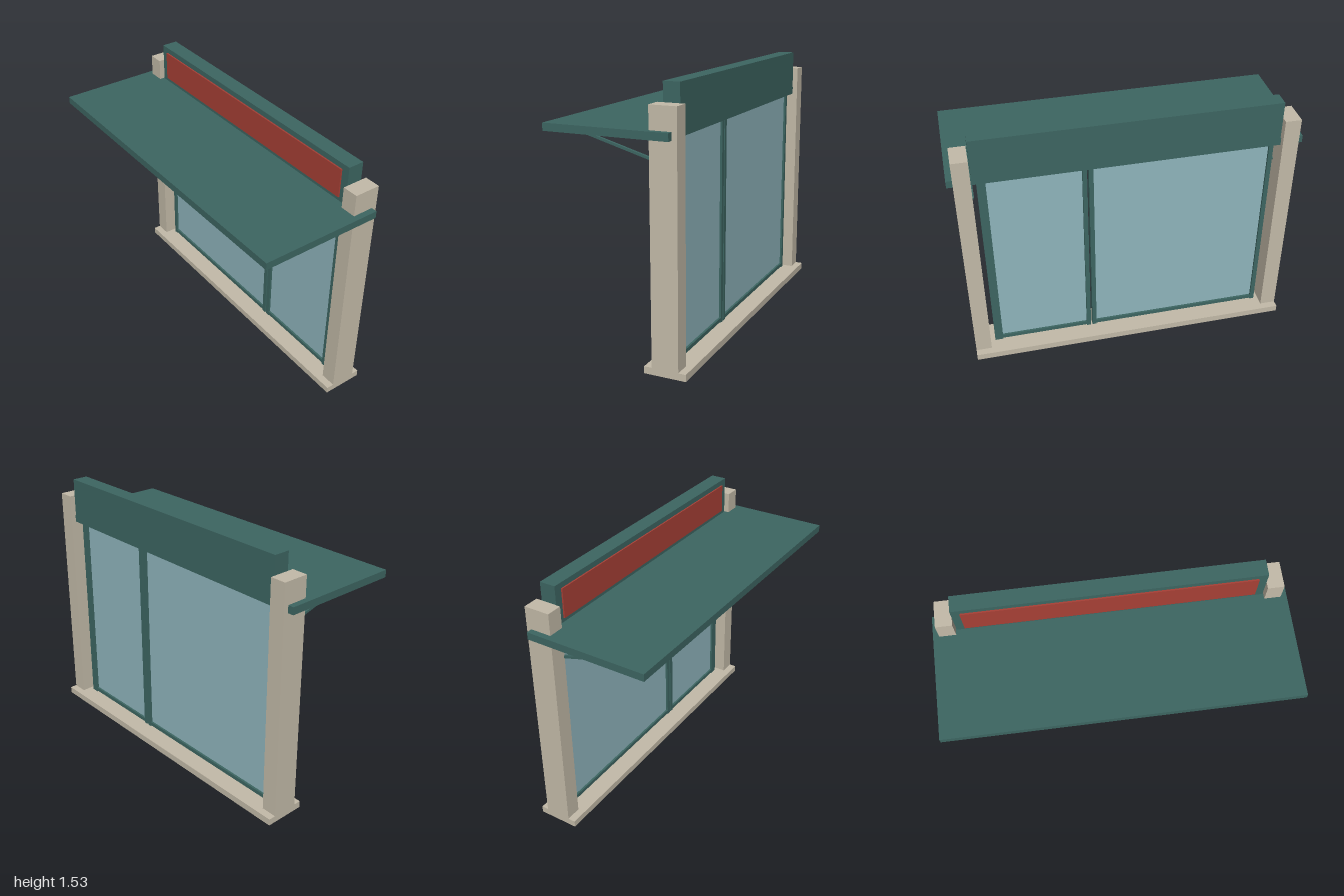
import * as THREE from 'three';

const mat = (name, color) => {
  const m = new THREE.MeshStandardMaterial({ color });
  m.name = name;
  return m;
};

export function createModel() {
  const teal = mat('tealPaint', 0x3d6662);
  const stone = mat('beigeStone', 0xc4bba9);
  const red = mat('redSign', 0xa84036);
  const glass = mat('paleGlass', 0x90b6be);

  const model = new THREE.Group();
  model.name = 'shopfront';

  // Box given by its extents on each axis
  const box = (name, material, [x0, x1], [y0, y1], [z0, z1], parent = model) => {
    const mesh = new THREE.Mesh(new THREE.BoxGeometry(x1 - x0, y1 - y0, z1 - z0), material);
    mesh.position.set((x0 + x1) / 2, (y0 + y1) / 2, (z0 + z1) / 2);
    mesh.name = name;
    parent.add(mesh);
    return mesh;
  };

  // Masonry
  box('sill', stone, [-0.965, 0.965], [0, 0.04], [-0.398, -0.155]);
  box('rightPillar', stone, [-0.965, -0.871], [0.04, 1.43], [-0.355, -0.2]);
  box('leftPillar', stone, [0.871, 0.965], [0.04, 1.43], [-0.355, -0.2]);

  // Canopy, fascia and sign panel
  box('canopy', teal, [-1, 1], [1.26, 1.303], [-0.325, 0.398]);
  box('fascia', teal, [-0.866, 0.866], [1.26, 1.535], [-0.325, -0.23]);
  box('signPanel', red, [-0.818, 0.818], [1.328, 1.502], [-0.23, -0.221]);

  // Glazed panel: two stiles, a bottom rail and a pane
  const glazedPanel = (name, x0, x1) => {
    const g = new THREE.Group();
    g.name = name;
    const w = 0.026, z = [-0.295, -0.26];
    box('stile', teal, [x0, x0 + w], [0.04, 1.26], z, g);
    box('stile', teal, [x1 - w, x1], [0.04, 1.26], z, g);
    box('bottomRail', teal, [x0 + w, x1 - w], [0.048, 0.071], z, g);
    box('pane', glass, [x0 + w, x1 - w], [0.071, 1.26], [-0.282, -0.273], g);
    model.add(g);
    return g;
  };
  glazedPanel('fixedWindow', -0.844, 0.228);
  const door = glazedPanel('door', 0.238, 0.819);
  box('doorJamb', teal, [0.819, 0.842], [0.04, 1.26], [-0.295, -0.26]);
  box('doorHandle', teal, [0.287, 0.298], [0.54, 0.715], [-0.26, -0.225], door);

  // Slanted canopy struts beside the pillars
  const front = new THREE.Vector3(0, 1.254, 0.258);
  const back = new THREE.Vector3(0, 1.113, -0.25);
  const run = front.clone().sub(back);
  for (const side of [-1, 1]) {
    const strut = new THREE.Mesh(new THREE.BoxGeometry(0.016, 0.014, run.length()), teal);
    strut.name = side < 0 ? 'rightStrut' : 'leftStrut';
    strut.position.copy(front).add(back).multiplyScalar(0.5).setX(side * 0.869);
    strut.rotation.x = -Math.atan2(run.y, run.z);
    model.add(strut);
  }

  return model;
}
